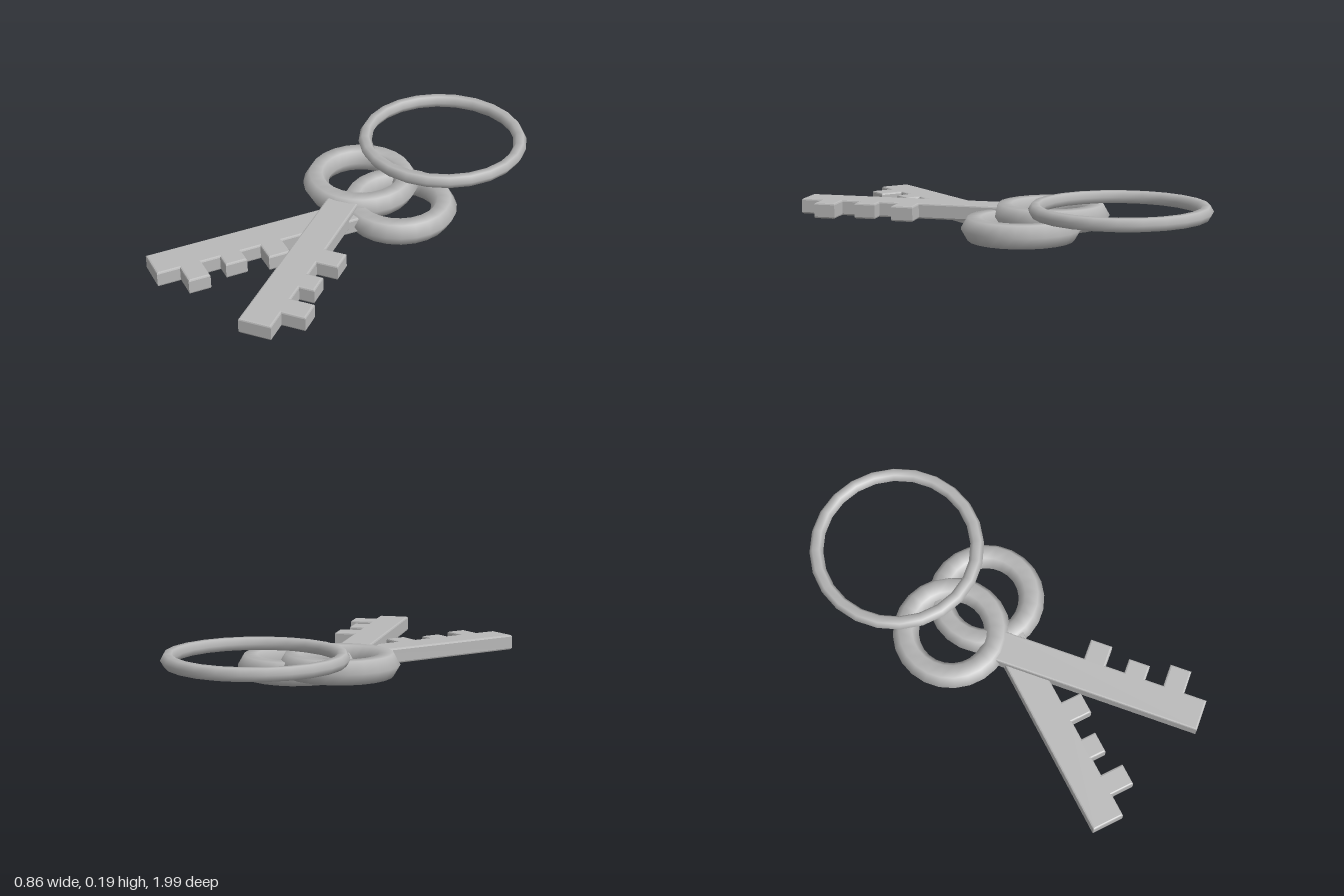
import * as THREE from 'three';

const metal = new THREE.MeshStandardMaterial({ color: 0xb8b8b8 });
metal.name = 'grey metal';

// Flat-lying ring with a hexagonal tube section
function makeRing(name, radius, tube, x, y, z) {
  const geometry = new THREE.TorusGeometry(radius, tube, 6, 24).rotateX(-Math.PI / 2);
  const ring = new THREE.Mesh(geometry, metal);
  ring.name = name;
  ring.position.set(x, y, z);
  return ring;
}

// Key blade with three teeth along its right edge, tip at the local origin
function makeKeyGeometry() {
  const half = 0.074, length = 0.97, height = 0.073, bevel = 0.008;
  const teeth = [[0.105, 0.205, 0.108], [0.29, 0.39, 0.069], [0.48, 0.583, 0.098]]; // start, end, depth
  const outline = new THREE.Shape();
  outline.moveTo(-half, 0);
  outline.lineTo(half, 0);
  for (const [start, end, depth] of teeth) {
    outline.lineTo(half, start);
    outline.lineTo(half + depth, start);
    outline.lineTo(half + depth, end);
    outline.lineTo(half, end);
  }
  outline.lineTo(half, length);
  outline.lineTo(-half, length);
  outline.closePath();
  const geometry = new THREE.ExtrudeGeometry(outline, {
    depth: height - 2 * bevel, bevelEnabled: true, bevelSegments: 2,
    bevelThickness: bevel, bevelSize: bevel, bevelOffset: -bevel,
  });
  return geometry.translate(0, 0, bevel).rotateX(-Math.PI / 2);
}

export function createModel() {
  const model = new THREE.Group();
  model.name = 'keyRing';

  // Large thin ring on top of two thicker bows
  model.add(
    makeRing('largeRing', 0.373, 0.032, -0.025, 0.162, -0.597),
    makeRing('upperKeyBow', 0.211, 0.06, -0.145, 0.083, -0.148),
    makeRing('lowerKeyBow', 0.211, 0.06, 0.093, 0.052, -0.148),
  );

  // Two identical blades, crossed near the bows
  const blade = makeKeyGeometry();
  const tilt = THREE.MathUtils.degToRad(21.5);
  for (const [name, x, y, angle] of [
    ['upperKeyBlade', 0.297, 0.046, tilt],
    ['lowerKeyBlade', -0.349, 0.019, -tilt],
  ]) {
    const key = new THREE.Mesh(blade, metal);
    key.name = name;
    key.position.set(x, y, 0.965);
    key.rotation.y = angle;
    model.add(key);
  }
  return model;
}
